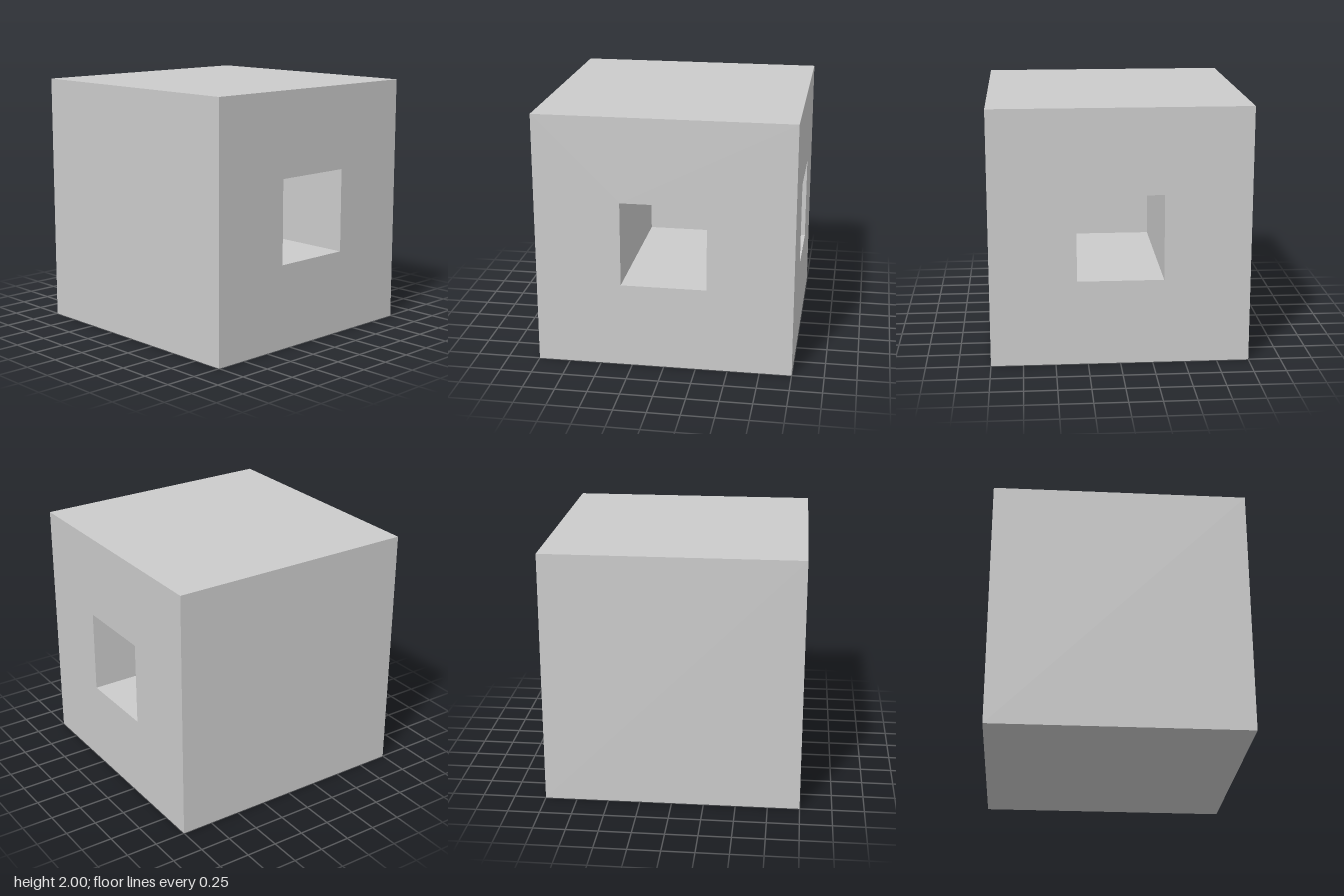
import * as THREE from 'three';

const R = 1;        // half the cube's side
const T = 1 / 3;    // half the tunnel's width
const Q = Math.PI / 2;

export function createModel() {
  const group = new THREE.Group();
  const material = new THREE.MeshStandardMaterial({ color: 0xcccccc, flatShading: true });

  // Flat panel facing local +z, then turned and placed
  const panel = (name, geometry, [x, y, z], rotX, rotY) => {
    const mesh = new THREE.Mesh(geometry, material);
    mesh.name = name;
    mesh.position.set(x, y + R, z);
    mesh.rotation.set(rotX, rotY, 0);
    group.add(mesh);
  };
  const polygon = (points) => points.map(([a, b]) => new THREE.Vector2(a, b));
  const square = (h) => polygon([[-h, -h], [h, -h], [h, h], [-h, h]]);

  // Outer faces: the right and back ones carry the tunnel mouths
  const solid = new THREE.PlaneGeometry(2 * R, 2 * R);
  const openShape = new THREE.Shape(square(R));
  openShape.holes.push(new THREE.Path(square(T).reverse()));
  const open = new THREE.ShapeGeometry(openShape);
  panel('frontFace', solid, [0, 0, R], 0, 0);
  panel('plainSideFace', solid, [-R, 0, 0], 0, -Q);
  panel('topFace', solid, [0, R, 0], -Q, 0);
  panel('bottomFace', solid, [0, -R, 0], Q, 0);
  panel('openSideFace', open, [R, 0, 0], 0, Q);
  panel('openBackFace', open, [0, 0, -R], 0, 2 * Q);

  // L-shaped tunnel plan in x, z: from the +x face to the centre, then out of the back
  const plan = [[R, -T], [R, T], [-T, T], [-T, -R], [T, -R], [T, -T]];
  const slab = (flip) => new THREE.ShapeGeometry(
    new THREE.Shape(polygon(plan.map(([x, z]) => [x, flip * z]))));
  panel('tunnelFloor', slab(-1), [0, -T, 0], -Q, 0);
  panel('tunnelCeiling', slab(1), [0, T, 0], Q, 0);

  // Tunnel walls: long on the outside of the bend, short on the inside
  const long = new THREE.PlaneGeometry(R + T, 2 * T);
  const short = new THREE.PlaneGeometry(R - T, 2 * T);
  const midLong = (R - T) / 2, midShort = (R + T) / 2;
  panel('tunnelOuterWallFront', long, [midLong, 0, T], 0, 2 * Q);
  panel('tunnelOuterWallSide', long, [-T, 0, -midLong], 0, Q);
  panel('tunnelInnerWallBack', short, [midShort, 0, -T], 0, 0);
  panel('tunnelInnerWallSide', short, [T, 0, -midShort], 0, -Q);

  return group;
}
